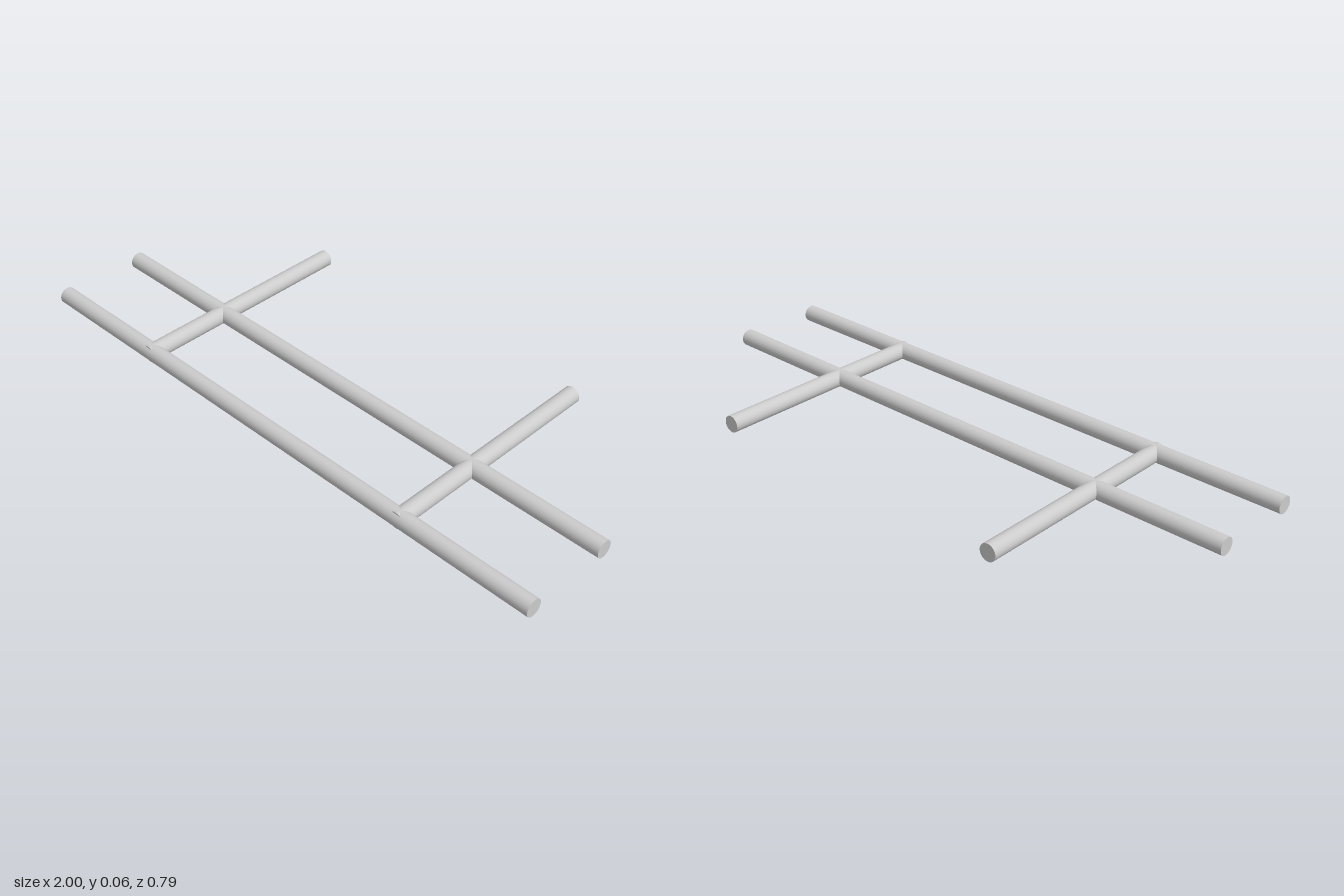
import * as THREE from 'three';

const RADIUS = 0.0283;

export function createModel() {
  const model = new THREE.Group();
  const material = new THREE.MeshStandardMaterial({ color: 0xcccccc });

  // Round bar resting on the ground, centred at (x, z)
  const addBar = (name, length, x, z, axis) => {
    const geometry = new THREE.CylinderGeometry(RADIUS, RADIUS, length, 48);
    if (axis === 'x') geometry.rotateZ(Math.PI / 2);
    else geometry.rotateX(Math.PI / 2);
    const bar = new THREE.Mesh(geometry, material);
    bar.name = name;
    bar.position.set(x, RADIUS, z);
    model.add(bar);
  };

  // Long rails running side to side
  addBar('frontRail', 2, 0, 0.3685, 'x');
  addBar('middleRail', 2, 0, 0.071, 'x');

  // Cross bars: they stop inside the front rail and stick out at the back
  const front = 0.384, back = -0.396;
  for (const [name, x] of [['rightCrossBar', -0.55], ['leftCrossBar', 0.527]]) {
    addBar(name, front - back, x, (front + back) / 2, 'z');
  }

  return model;
}
